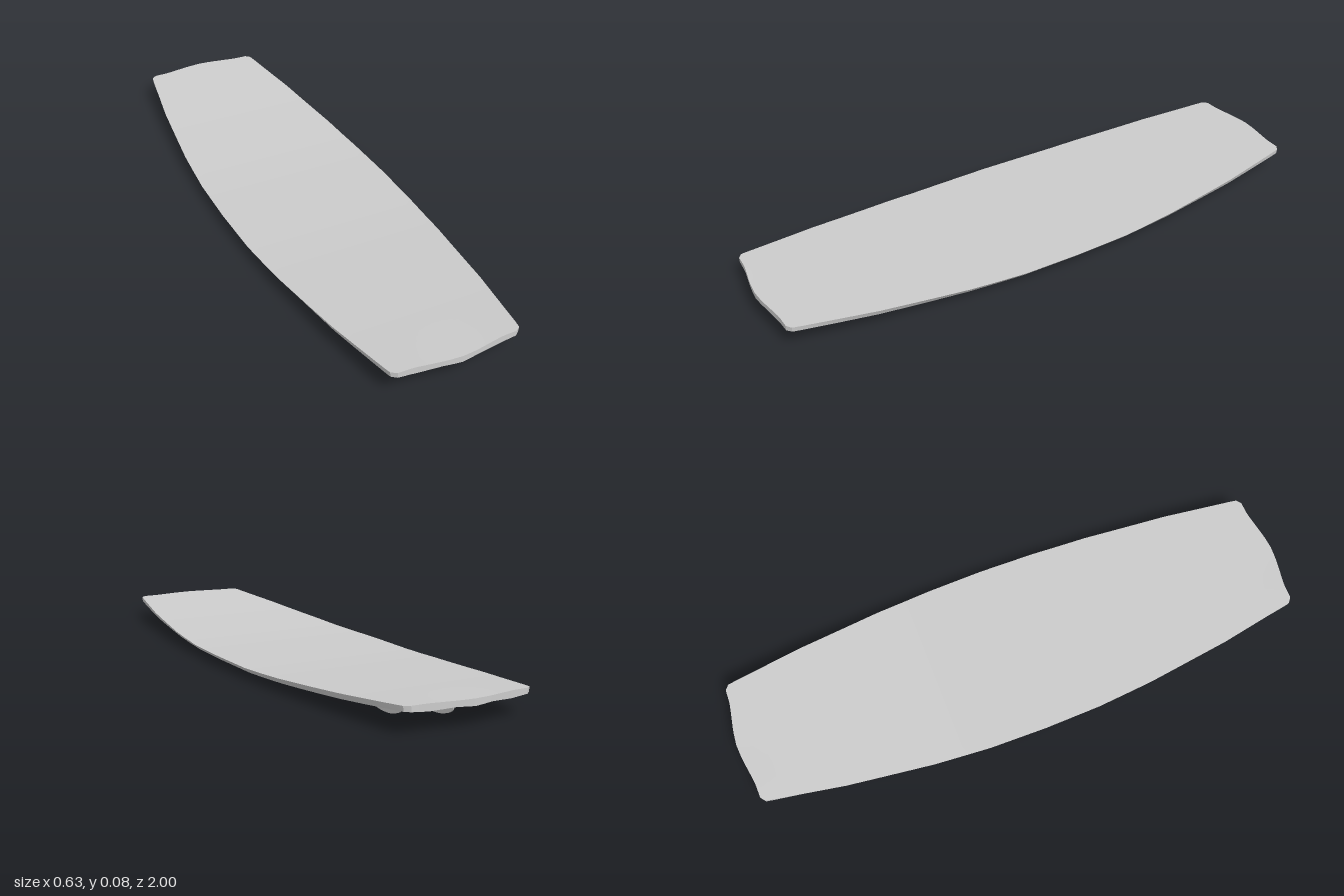
import * as THREE from 'three';
import { toCreasedNormals } from 'three/addons/utils/BufferGeometryUtils.js';

const material = new THREE.MeshStandardMaterial({ color: 0xcccccc, side: THREE.DoubleSide });
const lerp = THREE.MathUtils.lerp;

// piecewise linear curve through [position, value] pairs
function curve(points, a) {
  for (let i = 1; i < points.length; i++) {
    const [a0, v0] = points[i - 1], [a1, v1] = points[i];
    if (a <= a1) return lerp(v0, v1, (a - a0) / (a1 - a0));
  }
  return points[points.length - 1][1];
}

const OUTLINE = [[0, 0.315], [0.2, 0.311], [0.4, 0.297], [0.7, 0.262], [0.94, 0.222], [0.965, 0.217], [0.978, 0.2]];
const BELLY = [[0, 0.012], [0.2, 0.012], [0.298, 0.022]];
const TIP_CHANNELS = [[0, 0.066], [0.06, 0.07], [0.145, 0.065], [0.22, 0.072]];
const TIP_BULGE = [[0, 0.022], [0.05, 0.018], [0.15, 0.001], [0.2, 0]];
const ROWS = [0, 0.1, 0.2, 0.3, 0.4, 0.5, 0.6, 0.7, 0.8, 0.88, 0.94, 0.965, 0.978];
const SPAN = 20;

// how far the ends have curved up: 0 in the flat middle, 1 at the tips
const rocker = (z) => Math.pow(Math.max(0, (Math.abs(z) - 0.2) / 0.78), 1.3);

function boardPoint(zRow, s, top) {
  const az = Math.abs(zRow), t = rocker(zRow);
  const inset = top ? 0 : lerp(0.017, 0.001, t);
  const x = s * (curve(OUTLINE, az) - inset), ax = Math.abs(x);
  const bulge = curve(TIP_BULGE, ax) * THREE.MathUtils.clamp((az - 0.88) / 0.098, 0, 1);
  const y = top ? lerp(0.039, 0.088, t) : lerp(curve(BELLY, ax), curve(TIP_CHANNELS, ax), t);
  return [x, y, zRow + Math.sign(zRow) * bulge];
}

// closed cross-sections lofted from tip to tip
function boardGeometry() {
  const zs = [...ROWS.slice(1).reverse().map((z) => -z), ...ROWS];
  const ring = 2 * (SPAN + 1), position = [], index = [];
  for (const z of zs) {
    for (let i = 0; i <= SPAN; i++) position.push(...boardPoint(z, -1 + 2 * i / SPAN, true));
    for (let i = 0; i <= SPAN; i++) position.push(...boardPoint(z, 1 - 2 * i / SPAN, false));
  }
  for (let r = 0; r < zs.length - 1; r++) {
    for (let i = 0; i < ring; i++) {
      const a = r * ring + i, b = r * ring + (i + 1) % ring;
      index.push(a, a + ring, b, b, a + ring, b + ring);
    }
  }
  // tip faces
  const last = (zs.length - 1) * ring;
  for (let i = 0; i < SPAN; i++) {
    const a = i, b = i + 1, c = ring - 2 - i, d = ring - 1 - i;
    index.push(a, b, c, a, c, d);
    index.push(last + a, last + c, last + b, last + a, last + d, last + c);
  }
  const geometry = new THREE.BufferGeometry();
  geometry.setAttribute('position', new THREE.Float32BufferAttribute(position, 3));
  geometry.setIndex(index);
  return toCreasedNormals(geometry, 0.5);
}

// fin blade drawn in length and height, extruded thin
function finGeometry(inner, outer, low, thickness) {
  const length = outer - inner, shape = new THREE.Shape();
  shape.moveTo(inner, 0.042);
  shape.lineTo(outer, 0.066);
  shape.lineTo(outer, low + 0.033);
  shape.quadraticCurveTo(outer - 0.005, low + 0.015, outer - length * 0.2, low + 0.004);
  shape.quadraticCurveTo(outer - length * 0.4, low - 0.005, inner + length * 0.35, low + 0.012);
  shape.lineTo(inner, 0.034);
  const geometry = new THREE.ExtrudeGeometry(shape, { depth: thickness, bevelEnabled: false, curveSegments: 6 });
  geometry.translate(0, 0, -thickness / 2);
  return toCreasedNormals(geometry, 0.5);
}

export function createModel() {
  const model = new THREE.Group();
  model.name = 'board';

  const deck = new THREE.Mesh(boardGeometry(), material);
  deck.name = 'deck';
  model.add(deck);

  // three fins under each tip
  const centreFin = finGeometry(0.61, 0.9, 0.002, 0.005);
  const sideFin = finGeometry(0.6, 0.865, 0.014, 0.004);
  for (const [end, sign] of [['front', 1], ['back', -1]]) {
    for (const [side, x] of [['Left', 0.148], ['Centre', 0], ['Right', -0.148]]) {
      const fin = new THREE.Mesh(x === 0 ? centreFin : sideFin, material);
      fin.name = `${end}${side}Fin`;
      fin.rotation.y = -sign * Math.PI / 2;
      fin.position.x = x;
      model.add(fin);
    }
  }
  return model;
}
